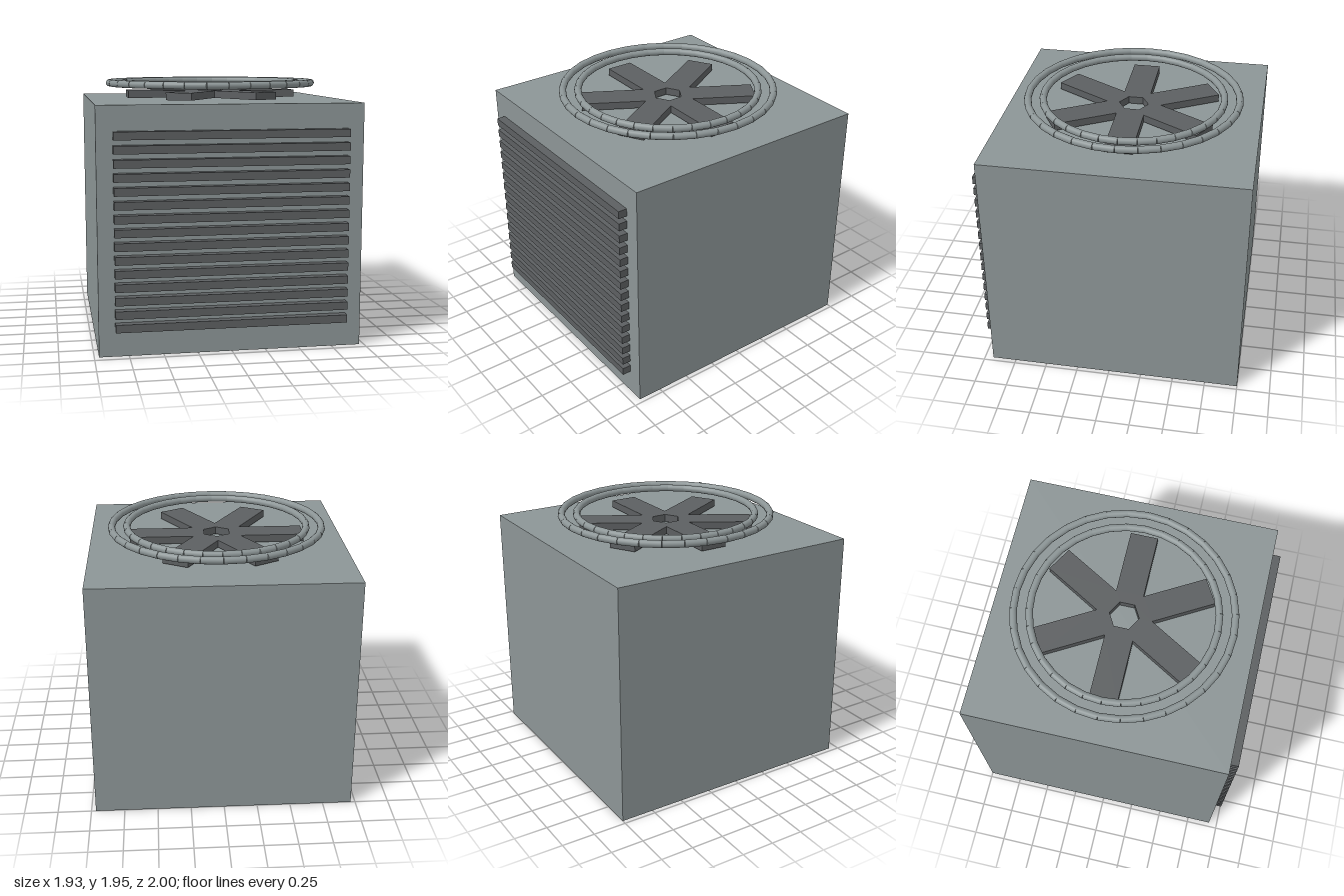
import * as THREE from 'three';

const CENTER_Z = -0.033; // middle of the cabinet and fan

export function createModel() {
  const model = new THREE.Group();
  model.name = 'airConditionerUnit';

  const casing = new THREE.MeshStandardMaterial({ name: 'casing grey', color: 0x8c9596 });
  const dark = new THREE.MeshStandardMaterial({ name: 'dark grey', color: 0x5c5f61 });

  const add = (parent, name, geometry, material, x, y, z) => {
    const mesh = new THREE.Mesh(geometry, material);
    mesh.name = name;
    mesh.position.set(x, y, z);
    parent.add(mesh);
    return mesh;
  };

  // Cabinet
  add(model, 'cabinet', new THREE.BoxGeometry(1.932, 1.796, 1.934), casing, 0, 0.898, CENTER_Z);

  // Front grille of horizontal slats
  const grille = new THREE.Group();
  grille.name = 'grille';
  model.add(grille);
  const slat = new THREE.BoxGeometry(1.696, 0.058, 0.066);
  for (let i = 0; i < 15; i++) {
    add(grille, 'slat', slat, dark, 0, 0.219 + i * 0.0976, 0.967);
  }

  // Six-bladed fan with a hexagonal hub hole
  const blades = 6, halfWidth = 0.103, reach = 0.66;
  const outline = [], hub = [];
  for (let i = 0; i < blades; i++) {
    const a = (i * Math.PI * 2) / blades, mid = a + Math.PI / blades;
    const c = Math.cos(a), s = Math.sin(a);
    for (const w of [-halfWidth, halfWidth]) {
      outline.push(new THREE.Vector2(reach * c - w * s, reach * s + w * c));
    }
    const notch = halfWidth / Math.sin(Math.PI / blades);
    outline.push(new THREE.Vector2(Math.cos(mid) * notch, Math.sin(mid) * notch));
    hub.push(new THREE.Vector2(Math.cos(mid) * 0.111, Math.sin(mid) * 0.111));
  }
  const fanShape = new THREE.Shape(outline);
  fanShape.holes.push(new THREE.Path(hub));
  const fanGeometry = new THREE.ExtrudeGeometry(fanShape, { depth: 0.056, bevelEnabled: false });
  fanGeometry.rotateX(-Math.PI / 2);
  add(model, 'fan', fanGeometry, dark, 0, 1.804, CENTER_Z);

  // Guard rings made of short straight rods
  const addRing = (name, radius) => {
    const ring = new THREE.Group();
    ring.name = name;
    ring.position.set(0, 1.918, CENTER_Z);
    model.add(ring);
    const count = 32, half = Math.PI / count;
    const rod = new THREE.CylinderGeometry(0.027, 0.027, 2 * radius * Math.sin(half), 16);
    rod.rotateX(Math.PI / 2);
    for (let i = 0; i < count; i++) {
      const a = (2 * i + 1) * half, r = radius * Math.cos(half);
      const mesh = add(ring, 'rod', rod, casing, r * Math.cos(a), 0, r * Math.sin(a));
      mesh.rotation.y = -a;
    }
  };
  addRing('outerGuardRing', 0.8);
  addRing('innerGuardRing', 0.684);

  return model;
}
